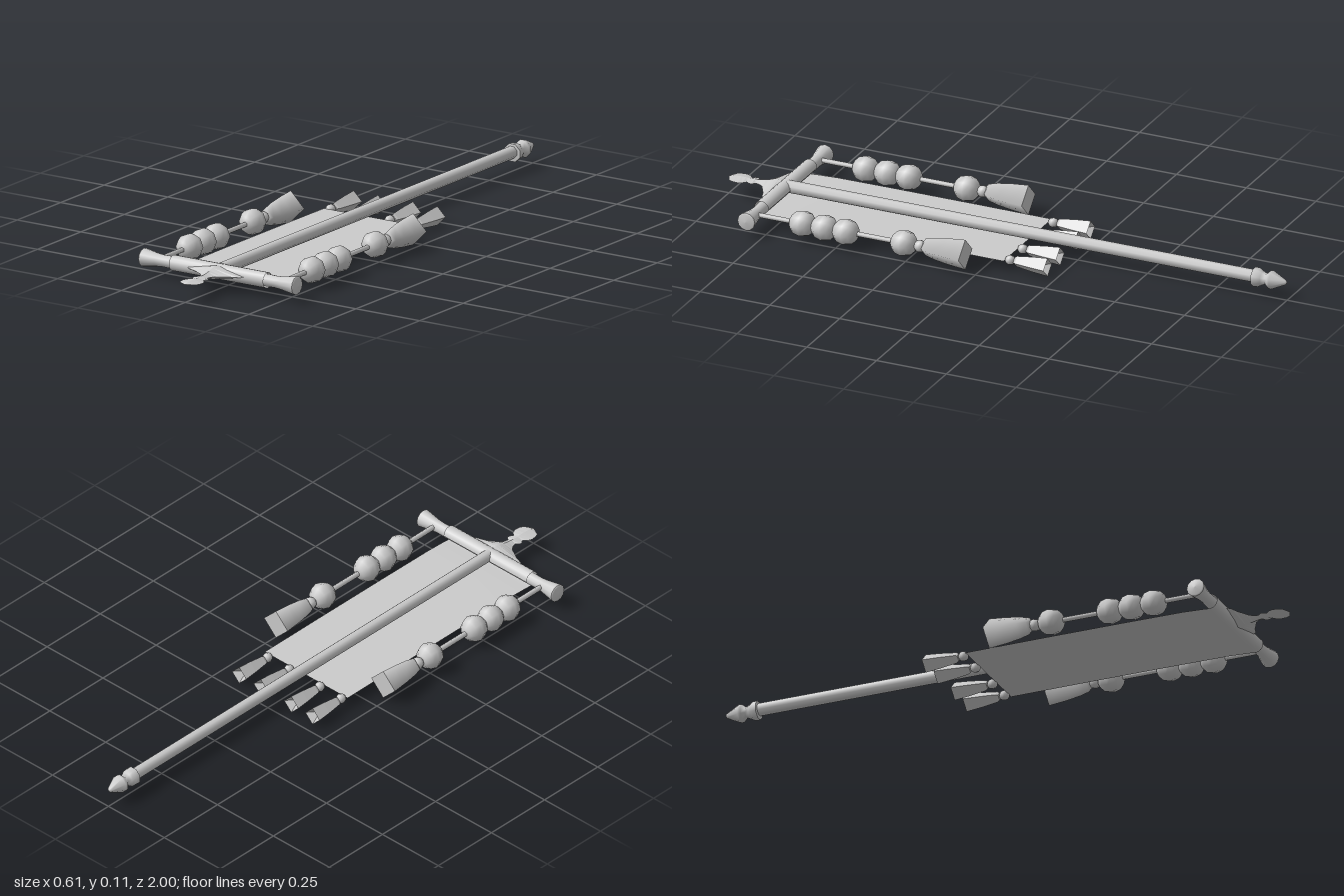
import * as THREE from 'three';

const grey = new THREE.MeshStandardMaterial({ color: 0xcccccc });
const faceted = new THREE.MeshStandardMaterial({ color: 0xcccccc, flatShading: true });
const twoSided = new THREE.MeshStandardMaterial({ color: 0xcccccc, side: THREE.DoubleSide });

function add(parent, name, geometry, x = 0, y = 0, z = 0, material = grey) {
  const mesh = new THREE.Mesh(geometry, material);
  mesh.name = name;
  mesh.position.set(x, y, z);
  parent.add(mesh);
  return mesh;
}

// Turned shape along z from [radius, z] points; repeated points keep a hard edge
function turned(points, sides) {
  const profile = points.map(([r, z]) => new THREE.Vector2(r, z));
  return new THREE.LatheGeometry(profile, sides).rotateX(Math.PI / 2);
}

const bead = (r) => new THREE.SphereGeometry(r, 8, 6).rotateX(Math.PI / 2);

// Flat ornament lofted from diamond sections: [z, half width, half height]
function diamondLoft(sections) {
  const pos = [], index = [];
  for (const [z, w, h] of sections) pos.push(w, 0, z, 0, h, z, -w, 0, z, 0, -h, z);
  for (let i = 0; i < sections.length - 1; i++) {
    for (let k = 0; k < 4; k++) {
      const a = i * 4 + k, b = i * 4 + (k + 1) % 4;
      index.push(a, b, b + 4, a, b + 4, a + 4);
    }
  }
  index.push(0, 2, 1, 0, 3, 2);
  const g = new THREE.BufferGeometry();
  g.setAttribute('position', new THREE.Float32BufferAttribute(pos, 3));
  g.setIndex(index);
  g.computeVertexNormals();
  return g;
}

// Thin cloth: runs under the pole and wraps around the crossbar
function clothGeometry(halfWidth, barY, barZ) {
  const path = [[0.036, -0.07], [0.037, 0.2], [0.037, 0.5], [0.036, 0.7], [0.033, 0.77]];
  for (let i = 0; i <= 12; i++) {
    const a = -Math.PI / 2 + (i / 12) * Math.PI * 1.5;
    path.push([barY + 0.026 * Math.sin(a), barZ + 0.026 * Math.cos(a)]);
  }
  const pos = [], index = [];
  path.forEach(([y, z], i) => {
    pos.push(-halfWidth, y, z, halfWidth, y, z);
    if (i) {
      const a = (i - 1) * 2;
      index.push(a, a + 1, a + 3, a, a + 3, a + 2);
    }
  });
  const g = new THREE.BufferGeometry();
  g.setAttribute('position', new THREE.Float32BufferAttribute(pos, 3));
  g.setIndex(index);
  g.computeVertexNormals();
  return g;
}

export function createModel() {
  const model = new THREE.Group();
  model.name = 'banner';
  const barY = 0.057, barZ = 0.797;

  // Long pole with a spear-shaped end
  add(model, 'pole', turned([[0, -0.89], [0.021, -0.89], [0.021, -0.89], [0.021, 0.79], [0.021, 0.79], [0, 0.79]], 8).rotateZ(Math.PI / 8), 0, 0.064, 0);
  add(model, 'poleFinial', turned([
    [0, -1], [0.008, -0.995], [0.031, -0.947], [0.029, -0.937], [0.018, -0.925],
    [0.024, -0.912], [0.031, -0.9], [0.032, -0.882], [0.032, -0.882], [0, -0.878],
  ], 8).rotateZ(Math.PI / 8), 0, 0.062, 0);

  // Crossbar with flared ends
  add(model, 'crossbar', turned([
    [0, -0.307], [0.027, -0.304], [0.031, -0.3], [0.031, -0.3], [0.022, -0.245], [0.02, -0.22], [0.021, -0.185],
    [0.021, 0.185], [0.02, 0.22], [0.022, 0.245], [0.031, 0.3], [0.031, 0.3], [0.027, 0.304], [0, 0.307],
  ], 12).rotateY(Math.PI / 2), 0, barY, barZ);

  add(model, 'cloth', clothGeometry(0.185, barY, barZ), 0, 0, 0, twoSided);

  // Flat ornament on the front of the crossbar
  add(model, 'frontOrnament', diamondLoft([
    [0.81, 0.09, 0.021], [0.823, 0.11, 0.022], [0.835, 0.1, 0.021], [0.843, 0.075, 0.019],
    [0.857, 0.05, 0.014], [0.868, 0.03, 0.012], [0.882, 0.02, 0.009], [0.897, 0.017, 0.007],
    [0.907, 0.029, 0.007], [0.917, 0.027, 0.006], [0.926, 0.02, 0.006], [0.938, 0.033, 0.007],
    [0.953, 0.039, 0.007], [0.972, 0.037, 0.006], [0.985, 0.031, 0.005], [1.0, 0.001, 0.001],
  ]), 0, 0.06, 0, faceted);

  // Beaded cords with large tassels on both sides
  for (const side of [-1, 1]) {
    const cord = new THREE.Group();
    cord.name = side > 0 ? 'leftCord' : 'rightCord';
    cord.position.set(side * 0.24, 0.06, 0);
    model.add(cord);
    add(cord, 'string', turned([[0.009, 0.19], [0.009, 0.8]], 6));
    for (const z of [0.26, 0.468, 0.545, 0.623]) add(cord, 'bead', bead(0.045), 0, 0, z);
    add(cord, 'tasselKnot', bead(0.021), 0, 0, 0.202);
    add(cord, 'tassel', turned([
      [0, 0.04], [0.053, 0.04], [0.053, 0.04], [0.047, 0.1], [0.039, 0.15], [0.03, 0.182], [0.02, 0.19], [0, 0.19],
    ], 4));
  }

  // Small tassels along the hem, with hollow ends
  for (const x of [-0.168, -0.073, 0.064, 0.16]) {
    add(model, 'hemKnot', bead(0.017), x, 0.033, -0.083);
    add(model, 'hemTassel', turned([
      [0, -0.18], [0.032, -0.217], [0.032, -0.217], [0.027, -0.165], [0.019, -0.108], [0.014, -0.1], [0, -0.1],
    ], 4), x, 0.032, 0, faceted);
  }

  return model;
}
